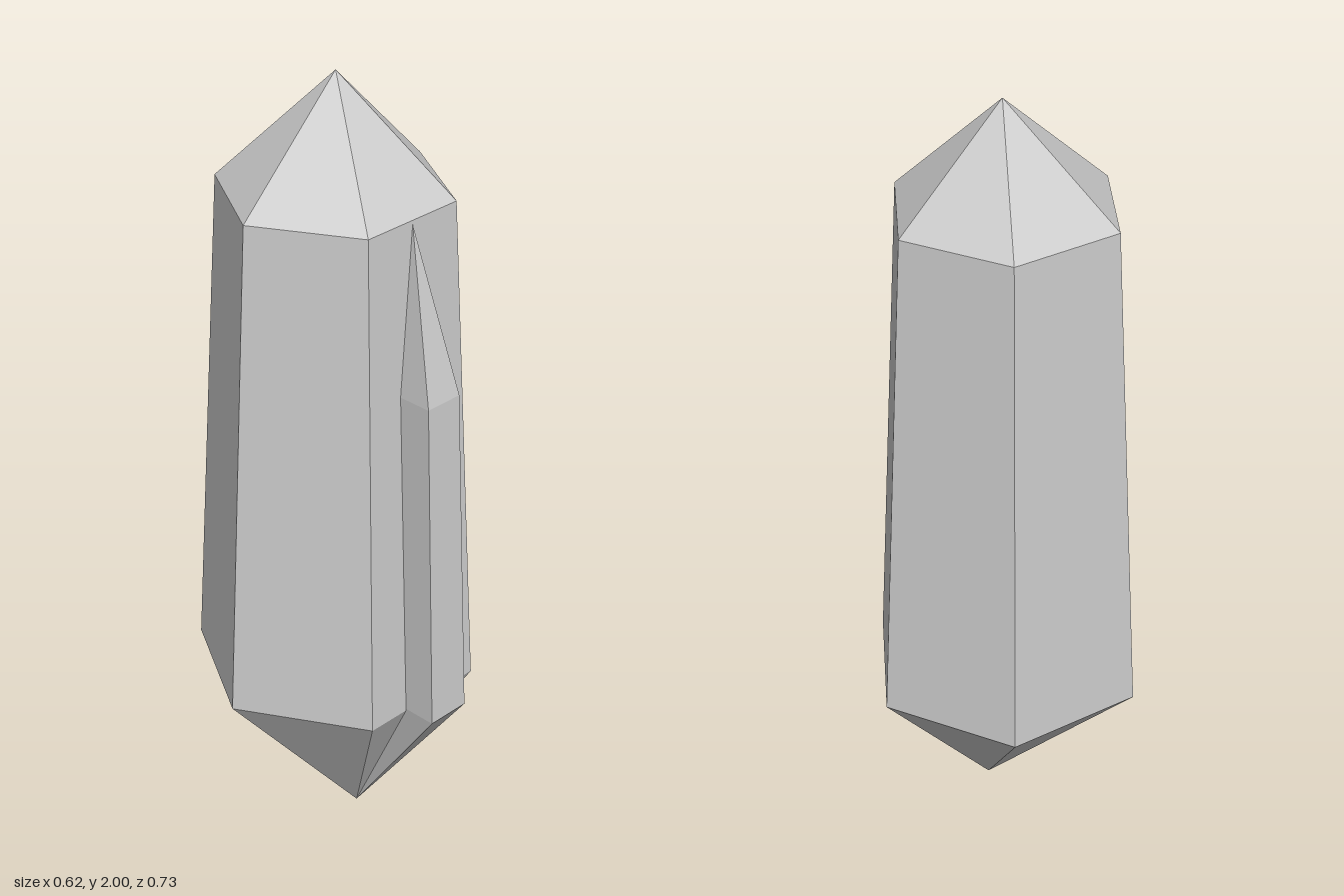
import * as THREE from 'three';

// One ring of corners around (x, z) at height y
function ring(sides, turn, { x, y, z, r }) {
  return Array.from({ length: sides }, (_, i) => {
    const a = turn + (i / sides) * Math.PI * 2;
    return [x + r * Math.cos(a), y, z + r * Math.sin(a)];
  });
}

// Faceted crystal: bottom tip, two rings, top tip
function crystal(name, sides, turn, bottomTip, low, high, topTip) {
  const lo = ring(sides, turn, low);
  const hi = ring(sides, turn, high);
  const corners = [];
  for (let i = 0; i < sides; i++) {
    const j = (i + 1) % sides;
    corners.push(
      lo[i], lo[j], bottomTip,
      lo[j], lo[i], hi[i],
      lo[j], hi[i], hi[j],
      hi[j], hi[i], topTip,
    );
  }
  const geometry = new THREE.BufferGeometry();
  geometry.setAttribute('position', new THREE.Float32BufferAttribute(corners.flat(), 3));
  geometry.computeVertexNormals();
  const mesh = new THREE.Mesh(
    geometry,
    new THREE.MeshStandardMaterial({ color: 0xcccccc, flatShading: true }),
  );
  mesh.name = name;
  return mesh;
}

export function createModel() {
  const group = new THREE.Group();
  group.name = 'crystalCluster';
  const root = [0.04, 0, 0.065];

  // Large six-sided crystal with off-centre tips
  group.add(crystal('mainCrystal', 6, Math.PI / 2, root,
    { x: 0, y: 0.43, z: -0.01, r: 0.356 },
    { x: 0, y: 1.72, z: -0.01, r: 0.287 },
    [0.008, 2, -0.028]));

  // Slim four-sided crystal growing out of the front left face
  group.add(crystal('sideCrystal', 4, Math.PI / 3 + Math.PI / 4, root,
    { x: 0.168, y: 0.435, z: 0.282, r: 0.083 },
    { x: 0.151, y: 1.295, z: 0.254, r: 0.0735 },
    [0.123, 1.71, 0.207]));

  return group;
}
